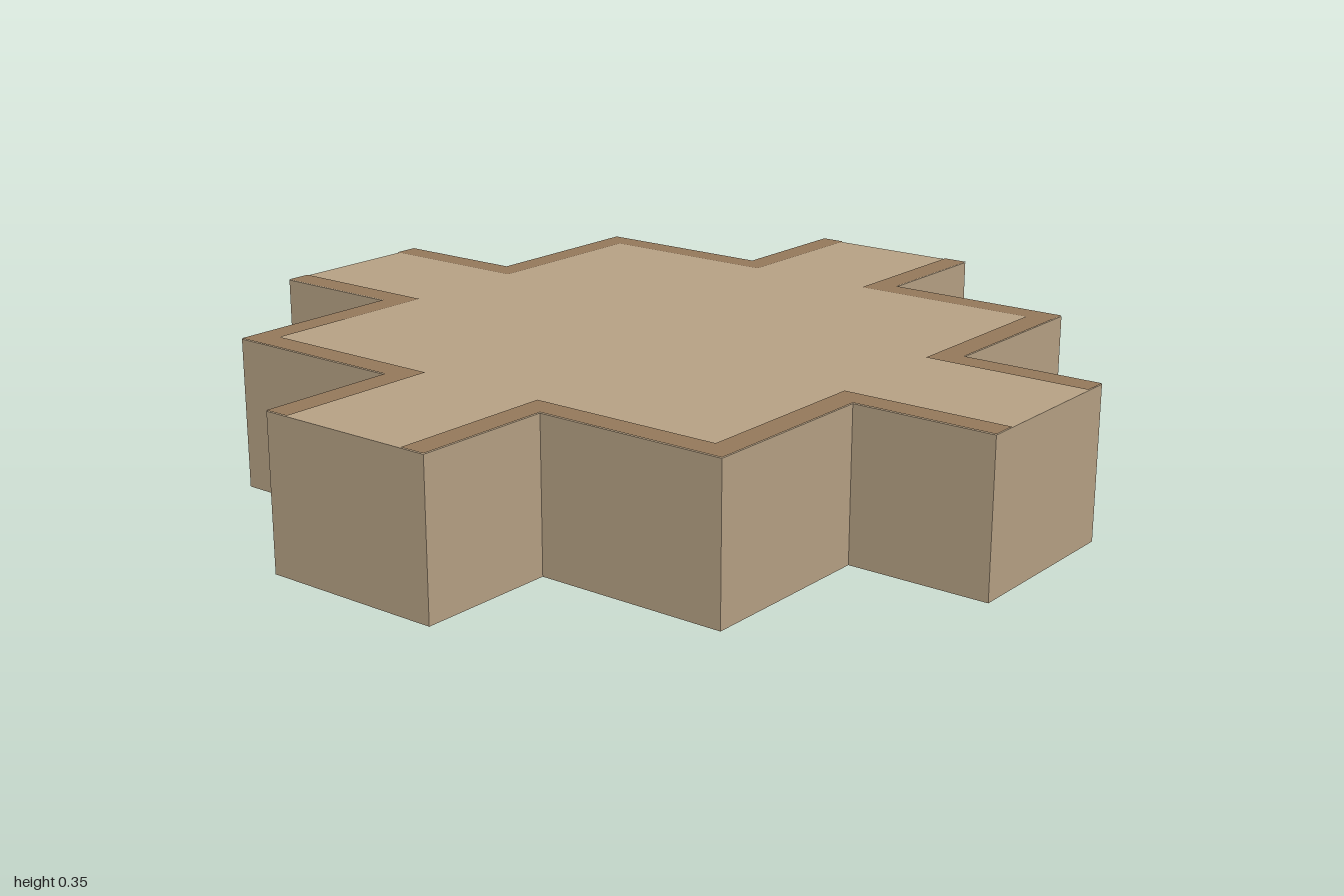
import * as THREE from 'three';

const HEIGHT = 0.35;
const ARM_X = 0.987, ARM_Z = 1;      // reach of the arms
const CORE_X = 0.658, CORE_Z = 0.67; // half size of the central square
const ARM = 0.218;                   // half width of the arms
const BORDER = 0.06;

// Stepped edge of one quadrant, from the side arm to the front arm, moved inwards by d
const steps = (d) => [
  [ARM_X, ARM - d], [CORE_X - d, ARM - d], [CORE_X - d, CORE_Z - d],
  [ARM - d, CORE_Z - d], [ARM - d, ARM_Z],
];
const toShape = (points) => new THREE.Shape(points.map(([x, y]) => new THREE.Vector2(x, y)));

export function createModel() {
  const group = new THREE.Group();
  const stone = new THREE.MeshStandardMaterial({ color: 0xb8a386 });
  stone.name = 'sandstone';
  const brown = new THREE.MeshStandardMaterial({ color: 0x967a5c });
  brown.name = 'brown border';

  // Cross-shaped slab: the quadrant edge mirrored round all four sides
  const quadrants = [[1, 1], [-1, 1], [-1, -1], [1, -1]];
  const outline = quadrants.flatMap(([sx, sy]) => {
    const edge = steps(0).map(([x, y]) => [x * sx, y * sy]);
    return sx * sy > 0 ? edge : edge.reverse();
  });
  const slabGeometry = new THREE.ExtrudeGeometry(toShape(outline), { depth: HEIGHT - 0.001, bevelEnabled: false });
  slabGeometry.rotateX(-Math.PI / 2);
  const slab = new THREE.Mesh(slabGeometry, stone);
  slab.name = 'slab';
  group.add(slab);

  // Flat border strips along the stepped edges, open at the arm ends
  quadrants.forEach(([sx, sy], i) => {
    const strip = [...steps(0), ...steps(BORDER).reverse()].map(([x, y]) => [x * sx, y * sy]);
    const geometry = new THREE.ShapeGeometry(toShape(strip));
    geometry.rotateX(-Math.PI / 2).translate(0, HEIGHT + 0.001, 0);
    const border = new THREE.Mesh(geometry, brown);
    border.name = `borderStrip${i + 1}`;
    group.add(border);
  });

  return group;
}
